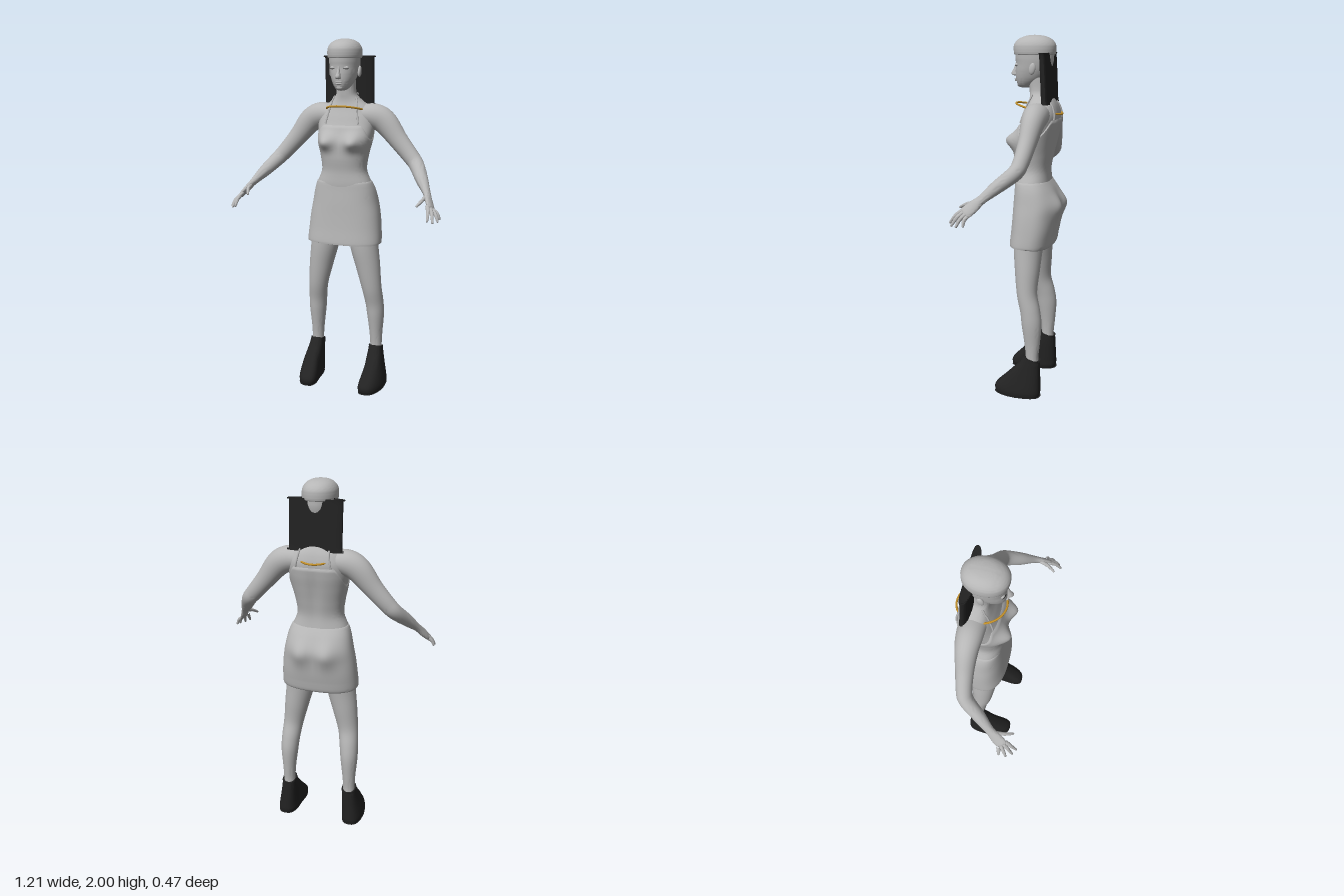
import * as THREE from 'three';
import { toCreasedNormals } from 'three/addons/utils/BufferGeometryUtils.js';

const mat = (name, color, side = THREE.FrontSide) => {
  const m = new THREE.MeshStandardMaterial({ color, side });
  m.name = name;
  return m;
};

// Catmull-Rom interpolation of whole rows of numbers, t in row units
function spline(rows, t) {
  const n = rows.length - 1;
  const i = Math.min(Math.max(Math.floor(t), 0), n - 1), f = t - i;
  const a = rows[Math.max(i - 1, 0)], b = rows[i], c = rows[i + 1], d = rows[Math.min(i + 2, n)];
  return b.map((_, k) => b[k] + 0.5 * f * (c[k] - a[k]
    + f * (2 * a[k] - 5 * b[k] + 4 * c[k] - d[k] + f * (3 * (b[k] - c[k]) + d[k] - a[k]))));
}

// Surface closed around the angle a and open along v
function grid(nu, nv, fn, crease = 1) {
  const pos = [], idx = [];
  for (let j = 0; j <= nv; j++)
    for (let i = 0; i < nu; i++) pos.push(...fn((i / nu) * Math.PI * 2, j / nv));
  for (let j = 0; j < nv; j++)
    for (let i = 0; i < nu; i++) {
      const k = (i + 1) % nu, a = j * nu + i, b = j * nu + k;
      idx.push(a, a + nu, b, b, a + nu, b + nu);
    }
  const g = new THREE.BufferGeometry();
  g.setAttribute('position', new THREE.Float32BufferAttribute(pos, 3));
  g.setIndex(idx);
  return toCreasedNormals(g, crease);
}

const pw = (v, p) => Math.sign(v) * Math.abs(v) ** p;
const bell = (d, w) => Math.exp(-((d / w) ** 2));

// Rounded horizontal section: half width, front z, back z
function ringPoint(a, y, cx, rx, zf, zb, p) {
  return [cx + Math.max(rx, 0) * pw(Math.cos(a), p), y, (zf + zb) / 2 + ((zf - zb) / 2) * pw(Math.sin(a), p)];
}

// Stack of rows [y, rx, zFront, zBack, cx]
function loft(rows, p, nu, nv, warp = (q) => q, crease = 1) {
  return grid(nu, nv, (a, v) => {
    const [y, rx, zf, zb, cx = 0] = spline(rows, v * (rows.length - 1));
    return warp(ringPoint(a, y, cx, rx, zf, zb, p), a);
  }, crease);
}

// Tapered limb through rows [x, y, z, radius, depth radius], s mirrors it
function limb(rows, s, nu = 20, nv = 32) {
  const full = rows.map(([x, y, z, r, d = r]) => [x * s, y, z, r, d]);
  const last = full[full.length - 1];
  full.push([...last.slice(0, 3).map((c, k) => c + (c - full[full.length - 2][k]) * 0.06), 0, 0]);
  const n = full.length - 1;
  const at = (t) => new THREE.Vector3(...spline(full, t));
  return grid(nu, nv, (a, v) => {
    const t = v * n, q = spline(full, t);
    const T = at(Math.min(t + 0.05, n)).sub(at(Math.max(t - 0.05, 0))).normalize();
    const B = new THREE.Vector3(0, 0, 1).addScaledVector(T, -T.z).normalize();
    const N = T.clone().cross(B);
    return new THREE.Vector3(q[0], q[1], q[2])
      .addScaledVector(N, Math.cos(a) * Math.max(q[3], 0))
      .addScaledVector(B, Math.sin(a) * Math.max(q[4], 0)).toArray();
  });
}

const TORSO = [
  [1.10, .15, .02, -.16], [1.20, .152, .03, -.15], [1.28, .123, .03, -.145], [1.36, .13, .04, -.16],
  [1.44, .148, .035, -.178], [1.52, .163, .01, -.195], [1.58, .163, -.012, -.2], [1.63, .135, -.03, -.187],
  [1.665, .088, -.038, -.168], [1.70, .057, -.036, -.142], [1.78, .052, -.03, -.13],
];
const TP = 0.85;

function torsoRow(y) {
  let i = 0;
  while (i < TORSO.length - 2 && y > TORSO[i + 1][0]) i++;
  return spline(TORSO, i + (y - TORSO[i][0]) / (TORSO[i + 1][0] - TORSO[i][0]));
}

function torsoPoint(a, y, grow = 0) {
  const [, rx, zf, zb] = torsoRow(y);
  const q = ringPoint(a, y, 0, rx + grow, zf + grow, zb - grow, TP);
  const s = Math.sin(a);
  // bust, and the hollow along the spine
  if (s > 0) q[2] += 0.052 * Math.min(1, s * 2) * bell(Math.abs(q[0]) - 0.082, 0.05) * bell(y - 1.445, 0.045);
  else q[2] += 0.012 * bell(q[0], 0.03) * bell(y - 1.42, 0.15);
  return q;
}

export function createModel() {
  const root = new THREE.Group();
  const grey = mat('pale grey', 0xb6b6b6);
  const cloth = mat('pale grey cloth', 0xb6b6b6, THREE.DoubleSide);
  const black = mat('black', 0x222222);
  const gold = mat('gold', 0xc4912a);
  const add = (name, geo, m = grey, parent = root) => {
    const mesh = new THREE.Mesh(geo, m);
    mesh.name = name;
    parent.add(mesh);
    return mesh;
  };
  const ball = (name, x, y, z, sx, sy, sz, m = grey) => {
    const b = add(name, new THREE.SphereGeometry(1, 20, 14), m);
    b.position.set(x, y, z);
    b.scale.set(sx, sy, sz);
    return b;
  };

  // Torso and neck, with the fitted bodice as a thin shell over them
  add('torso', grid(56, 60, (a, v) => torsoPoint(a, 1.1 + 0.68 * v)));
  add('bodice', grid(56, 40, (a, v) => {
    const s = Math.sin(a);
    const top = 1.455 + (s > 0 ? 0.078 : 0.105) * Math.min(1, Math.abs(s) * 1.3) ** 2;
    return torsoPoint(a, 1.18 + (top - 1.18) * v, v === 1 ? 0 : 0.006);
  }), cloth);

  // Skirt with a soft seat and an open hem
  add('skirt', loft([
    [.872, .205, .05, -.165], [.868, .217, .06, -.178], [.95, .212, .052, -.197], [1.03, .203, .046, -.205],
    [1.10, .19, .042, -.208], [1.17, .175, .037, -.182], [1.215, .158, .034, -.155], [1.222, .147, .028, -.148],
  ], 0.8, 56, 42, (q, a) => {
    const s = Math.sin(a);
    if (s < 0) {
      q[2] -= 0.03 * -s * bell(Math.abs(q[0]) - 0.075, 0.055) * bell(q[1] - 1.08, 0.07);
      if (q[1] < 0.9) q[1] += 0.012 * s;
    }
    return q;
  }), cloth);

  // Head
  add('head', loft([
    [1.722, 0, .005, -.02], [1.726, .022, .024, -.04], [1.74, .04, .034, -.07], [1.77, .059, .042, -.115],
    [1.81, .073, .044, -.145], [1.85, .08, .042, -.16], [1.89, .083, .046, -.165], [1.94, .08, .04, -.16],
    [1.97, .05, .0, -.12],
  ], 0.95, 40, 40));
  add('cap', loft([
    [1.90, .08, .042, -.16], [1.898, .09, .05, -.172], [1.92, .093, .054, -.176], [1.95, .09, .052, -.174],
    [1.975, .075, .032, -.156], [1.991, .052, .0, -.125], [1.998, .025, -.03, -.09], [2.0, 0, -.06, -.06],
  ], 0.95, 40, 32));

  // Face
  add('nose', loft([
    [1.785, 0, .05, .04], [1.79, .016, .066, .03], [1.80, .014, .071, .03],
    [1.825, .009, .057, .03], [1.855, .006, .046, .03],
  ], 1, 14, 16));
  ball('upperLip', 0, 1.769, 0.042, 0.022, 0.005, 0.009);
  ball('lowerLip', 0, 1.761, 0.041, 0.018, 0.006, 0.009);
  ball('chin', 0, 1.741, 0.024, 0.02, 0.014, 0.013);

  // Hair slab behind the head, leaning back towards the bottom
  add('hair', loft([
    [1.65, 0, -.14, -.145], [1.65, .145, -.112, -.166], [1.65, .145, -.112, -.166], [1.78, .145, -.106, -.16],
    [1.90, .145, -.10, -.153], [1.90, .145, -.10, -.153], [1.90, 0, -.125, -.13],
  ], 0.8, 32, 24, (q) => {
    q[2] -= 0.01 * (Math.abs(q[0]) / 0.145) ** 2;
    return q;
  }, 0.6), black);

  // Gold necklace hanging as a tilted ring
  const ring = [];
  for (let i = 0; i < 24; i++) {
    const a = (i / 24) * Math.PI * 2, z = -0.087 + 0.127 * Math.sin(a);
    ring.push(new THREE.Vector3(0.108 * Math.cos(a), 1.632 + 0.22 * z, z));
  }
  add('necklace', new THREE.TubeGeometry(new THREE.CatmullRomCurve3(ring, true), 72, 0.0055, 8, true), gold);

  for (const s of [1, -1]) {
    const side = s > 0 ? 'left' : 'right';

    // Closed eye: lid and dark lash line
    ball(side + 'Eyelid', s * 0.036, 1.845, 0.026, 0.017, 0.01, 0.011);
    const lash = ball(side + 'Lashes', s * 0.038, 1.84, 0.035, 0.016, 0.0018, 0.004, black);
    lash.rotation.y = s * 0.35;
    const ear = ball(side + 'Ear', s * 0.083, 1.825, -0.068, 0.01, 0.031, 0.018);
    ear.rotation.x = -0.2;

    // Halter straps, front and back
    for (const f of [1, -1]) {
      const pts = [];
      for (let k = 0; k <= 6; k++) {
        const y = (f > 0 ? 1.54 : 1.56) + k * 0.025;
        const c = Math.min((0.094 - k * 0.005) / torsoRow(y)[1], 0.93) ** (1 / TP);
        const a = Math.acos(c) * f, p = torsoPoint(a, y, 0.004);
        pts.push(new THREE.Vector3(p[0] * s, p[1], p[2]));
      }
      add(side + (f > 0 ? 'FrontStrap' : 'BackStrap'),
        new THREE.TubeGeometry(new THREE.CatmullRomCurve3(pts), 20, 0.005, 6), grey);
    }

    // Arm running into the palm
    add(side + 'Arm', limb([
      [.10, 1.585, -.105, .062, .07], [.165, 1.58, -.107, .07, .068], [.225, 1.545, -.107, .068, .06],
      [.30, 1.455, -.10, .054, .048], [.375, 1.37, -.088, .046, .042], [.415, 1.325, -.068, .042, .04],
      [.465, 1.26, .01, .034, .034], [.508, 1.203, .075, .02, .025], [.53, 1.168, .115, .016, .033],
      [.552, 1.135, .152, .011, .031],
    ], s, 24, 60));

    // Fingers and thumb
    const fingers = [
      [.535, 1.15, .166, .55, 1.085, .23], [.547, 1.142, .158, .575, 1.075, .215],
      [.557, 1.132, .148, .595, 1.075, .183], [.566, 1.122, .136, .597, 1.08, .145],
      [.512, 1.186, .112, .486, 1.152, .198],
    ];
    fingers.forEach(([x, y, z, X, Y, Z], i) => {
      const mid = [(x + X) / 2 + 0.004, (y + Y) / 2 + 0.005, (z + Z) / 2 + 0.003];
      add(side + (i < 4 ? 'Finger' + (i + 1) : 'Thumb'),
        limb([[x, y, z, .011], [...mid, .0095], [X, Y, Z, .006]], s, 10, 12));
    });

    // Leg
    add(side + 'Leg', limb([
      [.10, 1.04, -.075, .09, .09], [.117, .87, -.06, .083, .082], [.143, .73, -.06, .071, .07],
      [.165, .60, -.064, .058, .057], [.177, .50, -.086, .053, .056], [.182, .42, -.096, .049, .056],
      [.184, .31, -.1, .038, .044], [.185, .23, -.1, .034, .036], [.185, .15, -.1, .034, .036],
    ], s, 28, 56));

    // Tall wedge boot, the toe turned slightly inwards
    add(side + 'Boot', loft([
      [0, 0, -.02, -.03, .198], [0, .056, .112, -.145, .2], [0, .056, .112, -.145, .2], [.02, .061, .12, -.15, .199],
      [.05, .059, .112, -.15, .198], [.11, .051, .052, -.148, .193], [.17, .044, -.006, -.146, .188],
      [.222, .038, -.056, -.144, .185], [.222, .038, -.056, -.144, .185], [.222, 0, -.1, -.1, .185],
    ].map((r) => [...r.slice(0, 4), r[4] * s]), 0.72, 32, 36, (q) => {
      if (q[2] > 0) q[0] -= s * q[2] * 0.18;
      if (q[1] > 0.2) q[1] += (q[2] + 0.1) * 0.3;
      return q;
    }, 0.7), black);
  }
  return root;
}
